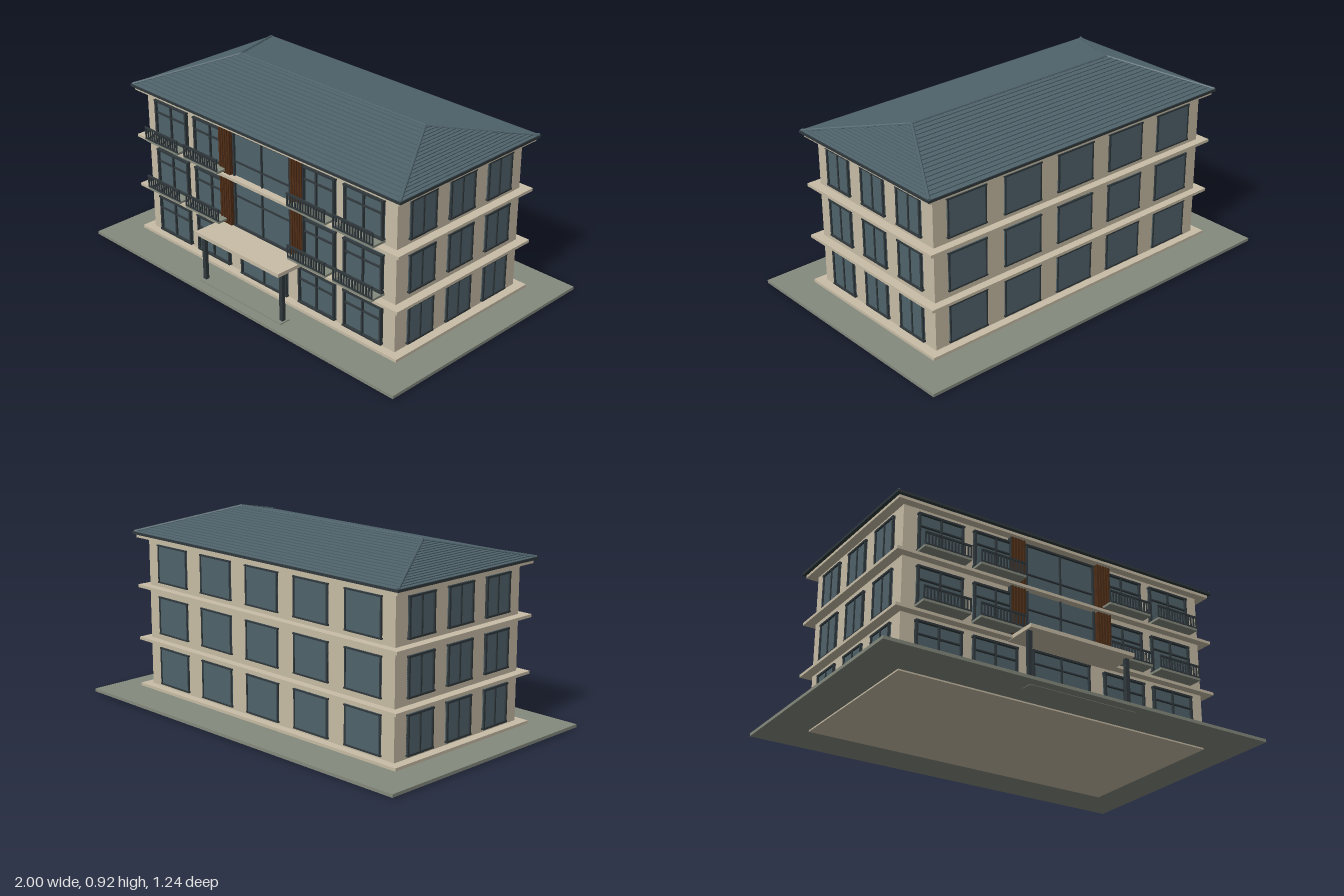
import * as THREE from 'three';

const mat = (name, color, side = THREE.FrontSide) => {
  const m = new THREE.MeshStandardMaterial({ color, side });
  m.name = name;
  return m;
};

export function createModel() {
  const M = {
    wall: mat('sandWall', 0xc8bda6),
    paving: mat('greyPaving', 0x858a7d),
    glass: mat('blueGlass', 0x50636b),
    frame: mat('darkFrame', 0x30393d),
    wood: mat('brownWood', 0x4e2d16),
    roof: mat('slateRoof', 0x4f636b),
  };
  M.roof.flatShading = true;
  const model = new THREE.Group();
  model.name = 'building';

  // box given by its extents on each axis
  const box = (parent, name, m, [x0, x1], [y0, y1], [z0, z1]) => {
    const mesh = new THREE.Mesh(new THREE.BoxGeometry(x1 - x0, y1 - y0, z1 - z0), m);
    mesh.position.set((x0 + x1) / 2, (y0 + y1) / 2, (z0 + z1) / 2);
    mesh.name = name;
    parent.add(mesh);
    return mesh;
  };
  const group = (name, parent = model) => {
    const g = new THREE.Group();
    g.name = name;
    parent.add(g);
    return g;
  };

  // ground slab, main body and floor bands
  box(model, 'groundSlab', M.paving, [-1, 1], [0.007, 0.022], [-0.62, 0.62]);
  box(model, 'body', M.wall, [-0.81, 0.81], [0, 0.797], [-0.405, 0.405]);
  for (const y of [0.033, 0.269, 0.533, 0.78])
    box(model, 'floorBand', M.wall, [-0.855, 0.855], [y, y + 0.014], [-0.445, 0.445]);

  // glazed opening facing +z, standing on its local origin
  const glazing = (name, w, h, { cols = [0], rows = [], depth = 0.012, bar = 0.009, lip = 0.003 } = {}) => {
    const g = group(name);
    box(g, 'glass', M.glass, [-w / 2, w / 2], [0, h], [-0.002, 0.005]);
    for (const s of [-1, 1]) {
      const x = s * (w - bar) / 2;
      box(g, 'jamb', M.frame, [x - bar / 2, x + bar / 2], [0, h], [0, depth]);
    }
    for (const y of [0, h - bar])
      box(g, 'rail', M.frame, [-w / 2 - lip, w / 2 + lip], [y, y + bar], [0, depth + 0.001]);
    for (const c of cols)
      box(g, 'mullion', M.frame, [c * w - bar * 0.4, c * w + bar * 0.4], [bar, h - bar], [0, depth - 0.002]);
    for (const r of rows)
      box(g, 'transom', M.frame, [-w / 2, w / 2], [r * h - bar * 0.35, r * h + bar * 0.35], [0, depth - 0.003]);
    return g;
  };

  const floors = [0.058, 0.313, 0.569];
  floors.forEach((y, level) => {
    // front windows, with balconies above the ground floor
    for (const x of [-0.628, -0.347, 0.347, 0.628]) {
      glazing('frontWindow', 0.226, 0.187, { rows: [0.66], depth: 0.018 }).position.set(x, y, 0.405);
      if (level > 0) balcony(x, y - 0.01);
    }
    // back windows
    for (let i = -2; i <= 2; i++) {
      const w = glazing('backWindow', 0.212, 0.187, { cols: [], depth: 0.009, bar: 0.007 });
      w.position.set(i * 0.315, y, -0.405);
      w.rotation.y = Math.PI;
    }
    // side windows
    for (const s of [-1, 1]) for (const z of [-0.25, 0, 0.25]) {
      const w = glazing('sideWindow', 0.162, 0.187);
      w.position.set(s * 0.81, y, z);
      w.rotation.y = s * Math.PI / 2;
    }
  });

  // slab with a straight front railing
  function balcony(x, y) {
    const g = group('balcony');
    g.position.set(x, y, 0);
    const hw = 0.117;
    box(g, 'balconySlab', M.paving, [-hw, hw], [0, 0.011], [0.403, 0.483]);
    box(g, 'handrail', M.frame, [-hw, hw], [0.066, 0.074], [0.477, 0.485]);
    box(g, 'bottomRail', M.frame, [-hw, hw], [0.011, 0.018], [0.478, 0.484]);
    const n = 14;
    for (let i = 0; i <= n; i++) {
      const bx = (i / n - 0.5) * 2 * (hw - 0.003);
      box(g, 'baluster', M.frame, [bx - 0.003, bx + 0.003], [0.011, 0.068], [0.478, 0.484]);
    }
  }

  // tall central glazing, entrance door
  glazing('centralWindow', 0.376, 0.484, { rows: [0.33, 0.69], depth: 0.016 }).position.set(0, 0.287, 0.405);
  glazing('entranceDoor', 0.308, 0.212, { rows: [0.7], depth: 0.016 }).position.set(0, 0.045, 0.405);

  // slatted wood panels beside the central glazing
  for (const s of [-1, 1]) {
    const g = group('woodPanel');
    box(g, 'panelBack', M.wood, [s * 0.235 - 0.037, s * 0.235 + 0.037], [0.287, 0.777], [0.404, 0.422]);
    for (let i = 0; i < 5; i++) {
      const x = s * (0.204 + i * 0.0155);
      box(g, 'slat', M.wood, [x - 0.005, x + 0.005], [0.287, 0.777], [0.42, 0.431]);
    }
    box(g, 'panelEdge', M.frame, [s * 0.271 - 0.004, s * 0.271 + 0.004], [0.287, 0.777], [0.404, 0.427]);
  }

  // entrance canopy, posts and step
  box(model, 'canopy', M.wall, [-0.278, 0.278], [0.267, 0.285], [0.403, 0.583]);
  box(model, 'entranceStep', M.paving, [-0.278, 0.278], [0.005, 0.027], [0.517, 0.573]);
  for (const s of [-1, 1])
    box(model, 'canopyPost', M.frame, [s * 0.26 - 0.01, s * 0.26 + 0.01], [0.022, 0.268], [0.535, 0.553]);

  // hipped roof: overlapping tile courses lofted through rectangular rings
  const courses = 18, step = 0.004;
  const eave = { x: 0.865, y: 0.806, z: 0.455 }, ridge = { x: 0.592, y: 0.912, z: 0.002 };
  const ring = (t, lift) => {
    const at = (k) => eave[k] + (ridge[k] - eave[k]) * t;
    const x = at('x'), y = at('y') + lift, z = at('z');
    return [[-x, y, z], [x, y, z], [x, y, -z], [-x, y, -z]];
  };
  const rings = [];
  for (let i = 0; i < courses; i++)
    rings.push(ring(i / courses, 0), ring(i / courses, step), ring((i + 1) / courses, 0));
  const pos = [];
  for (let r = 0; r + 1 < rings.length; r++) {
    if (r % 3 === 2) continue; // coincident rings between courses
    for (let j = 0; j < 4; j++) {
      const k = (j + 1) % 4, a = rings[r][j], b = rings[r][k], c = rings[r + 1][k], d = rings[r + 1][j];
      pos.push(...a, ...b, ...c, ...a, ...c, ...d);
    }
  }
  const tiles = new THREE.BufferGeometry();
  tiles.setAttribute('position', new THREE.Float32BufferAttribute(pos, 3));
  tiles.computeVertexNormals();
  const roof = group('roof');
  const tileMesh = new THREE.Mesh(tiles, M.roof);
  tileMesh.name = 'roofTiles';
  roof.add(tileMesh);
  box(roof, 'eaveFascia', M.frame, [-0.87, 0.87], [0.797, 0.809], [-0.459, 0.459]);

  // ridge and hip caps
  const cap = (name, a, b) => {
    const va = new THREE.Vector3(...a), vb = new THREE.Vector3(...b);
    const m = new THREE.Mesh(new THREE.CylinderGeometry(0.007, 0.007, va.distanceTo(vb), 8), M.roof);
    m.position.copy(va).add(vb).multiplyScalar(0.5);
    m.quaternion.setFromUnitVectors(new THREE.Vector3(0, 1, 0), vb.sub(va).normalize());
    m.name = name;
    roof.add(m);
  };
  cap('ridgeCap', [-0.598, 0.913, 0], [0.598, 0.913, 0]);
  for (const sx of [-1, 1]) for (const sz of [-1, 1])
    cap('hipCap', [sx * 0.863, 0.809, sz * 0.453], [sx * 0.592, 0.913, 0]);

  return model;
}
